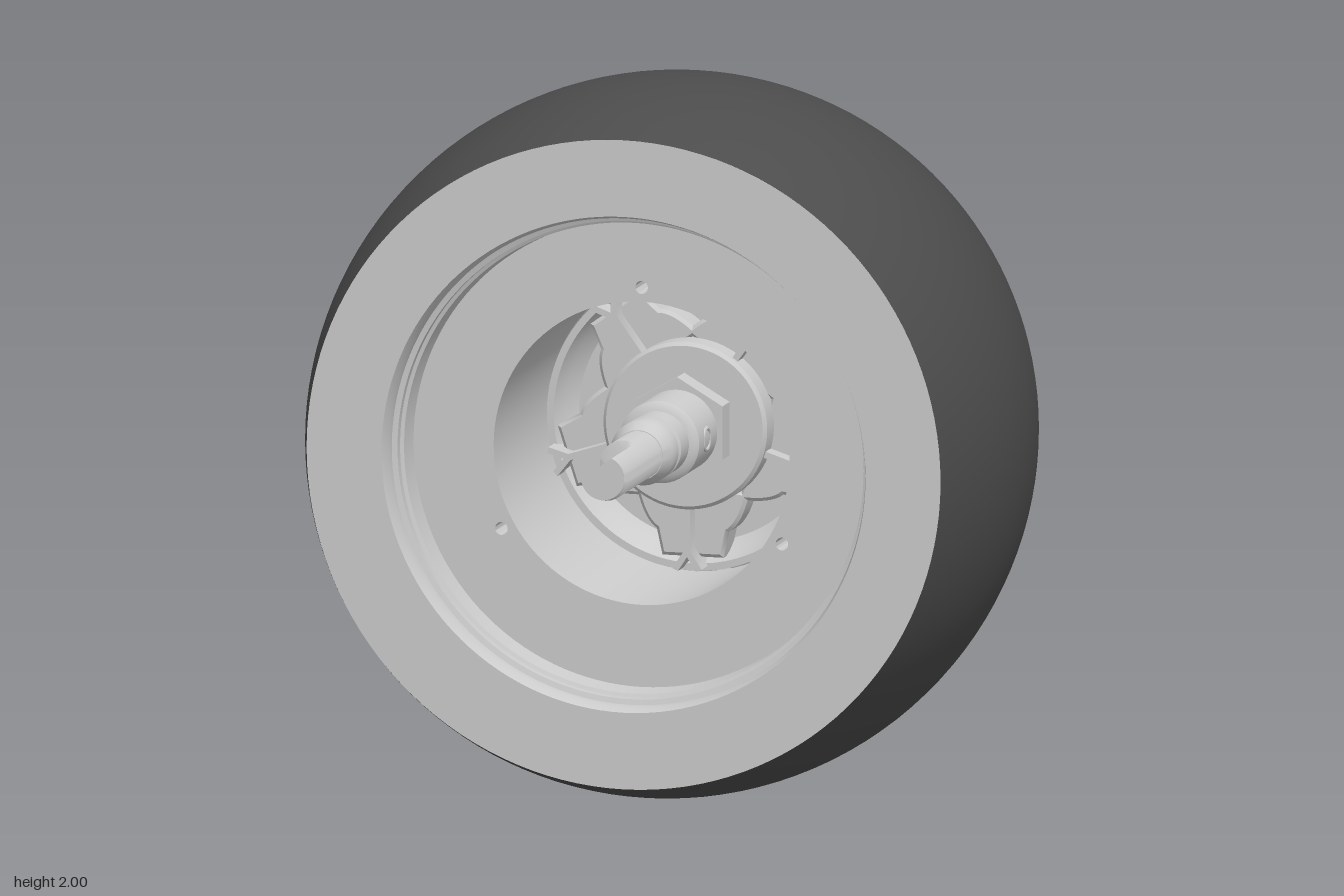
import * as THREE from 'three';
import { toCreasedNormals } from 'three/addons/utils/BufferGeometryUtils.js';

const metal = new THREE.MeshStandardMaterial({ color: 0xcccccc, side: THREE.DoubleSide });
const rubber = new THREE.MeshStandardMaterial({ color: 0x4c4c4c, side: THREE.DoubleSide });

export function createModel() {
  const wheel = new THREE.Group();
  wheel.name = 'wheel';
  wheel.position.y = 1; // the wheel axis lies along z at this height

  function add(name, geometry, material = metal, parent = wheel) {
    const mesh = new THREE.Mesh(toCreasedNormals(geometry, 0.6), material);
    mesh.name = name;
    parent.add(mesh);
    return mesh;
  }

  // Profile of [radius, z] pairs turned around the z axis
  function turned(points, segments = 96) {
    const profile = points.map(([r, z]) => new THREE.Vector2(r, z));
    return new THREE.LatheGeometry(profile, segments).rotateX(Math.PI / 2);
  }

  // Flat outline extruded between two z positions
  function slab(shape, z0, z1, bevel = 0) {
    return new THREE.ExtrudeGeometry(shape, {
      depth: z1 - z0 - 2 * bevel, bevelEnabled: bevel > 0, bevelSize: bevel,
      bevelThickness: bevel, bevelSegments: 1, curveSegments: 48,
    }).translate(0, 0, z0 + bevel);
  }

  const outline = (points) => new THREE.Shape(points.map(([x, y]) => new THREE.Vector2(x, y)));

  // Tyre with a crowned tread
  const tread = [[0.69, -0.565]];
  for (let i = 0; i <= 20; i++) {
    const t = i / 10 - 1;
    tread.push([1 - 0.09 * t * t, -0.095 + 0.47 * t]);
  }
  add('tyre', turned(tread, 128), rubber);

  // Front face of the rim, stepping down to the recessed wall
  add('frontRim', turned([
    [0.91, 0.376], [0.695, 0.376], [0.685, 0.345], [0.685, 0.31], [0.67, 0.305],
    [0.67, 0.28], [0.66, 0.275], [0.655, 0.2], [0.5, 0.2],
  ], 128));

  // Drum around the hub, pierced by three small holes
  const ring = new THREE.Shape().absarc(0, 0, 0.505, 0, Math.PI * 2);
  ring.holes.push(new THREE.Path().absarc(0, 0, 0.425, 0, Math.PI * 2, true));
  for (let i = 0; i < 3; i++) {
    const a = Math.PI / 2 + i * Math.PI * 2 / 3;
    ring.holes.push(new THREE.Path().absarc(0.465 * Math.cos(a), 0.465 * Math.sin(a), 0.018, 0, Math.PI * 2, true));
  }
  add('drum', slab(ring, -0.32, 0.2));

  // Back rim: inner barrel, bolt ledge and flared lip
  add('backRim', turned([
    [0.5, -0.27], [0.55, -0.27], [0.55, -0.38], [0.535, -0.39], [0.535, -0.47], [0.55, -0.5],
    [0.57, -0.51], [0.62, -0.51], [0.638, -0.52], [0.652, -0.545], [0.668, -0.568],
    [0.685, -0.579], [0.705, -0.58], [0.69, -0.56],
  ], 128));

  // Bolt sockets around the back rim
  const socket = turned([
    [0, -0.505], [0.024, -0.505], [0.024, -0.53], [0.038, -0.53], [0.042, -0.5],
  ], 24);
  for (let i = 0; i < 10; i++) {
    const a = -Math.PI / 2 + i * Math.PI / 5;
    add('boltSocket', socket, metal).position.set(0.6 * Math.cos(a), 0.6 * Math.sin(a), 0);
  }

  // Dished hub plate with a raised centre disc at the back
  add('hubPlate', turned([
    [0, -0.38], [0.35, -0.38], [0.38, -0.35], [0.4, -0.3], [0.42, -0.3], [0.42, -0.35],
    [0.41, -0.38], [0.39, -0.4], [0.36, -0.413], [0.2, -0.415], [0.2, -0.425], [0, -0.425],
  ].reverse()));

  // Five forked spokes at the back, each with a gusset and a Y rib inside
  const fork = slab(outline([
    [-0.045, 0.34], [0.045, 0.34], [0.055, 0.44], [0.1, 0.5], [0.105, 0.57], [0.04, 0.57],
    [0, 0.5], [-0.04, 0.57], [-0.105, 0.57], [-0.1, 0.5], [-0.055, 0.44],
  ]), -0.43, -0.33, 0.012);
  const p = fork.attributes.position;
  for (let i = 0; i < p.count; i++) {
    // spokes rise toward the rim
    p.setZ(i, p.getZ(i) - 0.3 * Math.max(0, p.getY(i) - 0.36));
  }
  const web = new THREE.Shape();
  web.moveTo(-0.15, 0.2);
  web.quadraticCurveTo(-0.13, 0.28, -0.095, 0.3);
  web.lineTo(-0.08, 0.37);
  web.lineTo(0.08, 0.37);
  web.lineTo(0.095, 0.3);
  web.quadraticCurveTo(0.13, 0.28, 0.15, 0.2);
  const gusset = slab(web, -0.385, -0.29, 0.01);
  const rib = slab(outline([
    [-0.009, 0.22], [0.009, 0.22], [0.009, 0.355], [0.042, 0.405], [0.026, 0.412],
    [0, 0.372], [-0.026, 0.412], [-0.042, 0.405], [-0.009, 0.355],
  ]), -0.38, -0.24);
  for (let i = 0; i < 5; i++) {
    const spoke = new THREE.Group();
    spoke.name = 'spoke';
    spoke.rotation.z = Math.PI + i * Math.PI * 2 / 5;
    add('spokeFork', fork, metal, spoke);
    add('spokeGusset', gusset, metal, spoke);
    add('spokeRib', rib, metal, spoke);
    wheel.add(spoke);
  }

  // Hub boss and hexagonal nut
  add('hubBoss', turned([[0.235, -0.38], [0.235, -0.225], [0.225, -0.215], [0, -0.215]]));
  const nut = new THREE.CylinderGeometry(0.15, 0.15, 0.07, 6).rotateX(Math.PI / 2);
  add('hubNut', nut.translate(0, 0, -0.18));

  // Stepped axle with a cross hole collar
  add('axle', turned([
    [0.115, -0.16], [0.115, 0.03], [0.105, 0.04], [0.09, 0.045], [0.09, 0.12], [0.082, 0.125],
    [0.082, 0.14], [0.09, 0.145], [0.09, 0.2], [0.07, 0.23], [0, 0.23],
  ], 48));
  const collar = new THREE.TorusGeometry(0.03, 0.006, 8, 24).rotateY(Math.PI / 2);
  for (const side of [-1, 1]) {
    add('crossHole', collar).position.set(side * 0.111, 0, -0.05);
  }

  // Threaded end with a flat cut along the upper side near the tip
  const threads = [[0.056, 0.22]];
  for (let z = 0.23; z < 0.565; z += 0.018) threads.push([0.068, z], [0.057, z + 0.009]);
  threads.push([0.062, 0.58], [0, 0.58]);
  const thread = turned(threads, 48);
  const v = thread.attributes.position;
  const cut = new THREE.Vector2(-0.6, 0.8);
  for (let i = 0; i < v.count; i++) {
    const d = v.getX(i) * cut.x + v.getY(i) * cut.y;
    if (v.getZ(i) > 0.38 && d > 0.03) {
      v.setX(i, v.getX(i) - (d - 0.03) * cut.x);
      v.setY(i, v.getY(i) - (d - 0.03) * cut.y);
    }
  }
  add('axleThread', thread);

  const model = new THREE.Group();
  model.name = 'wheelAssembly';
  model.add(wheel);
  return model;
}
